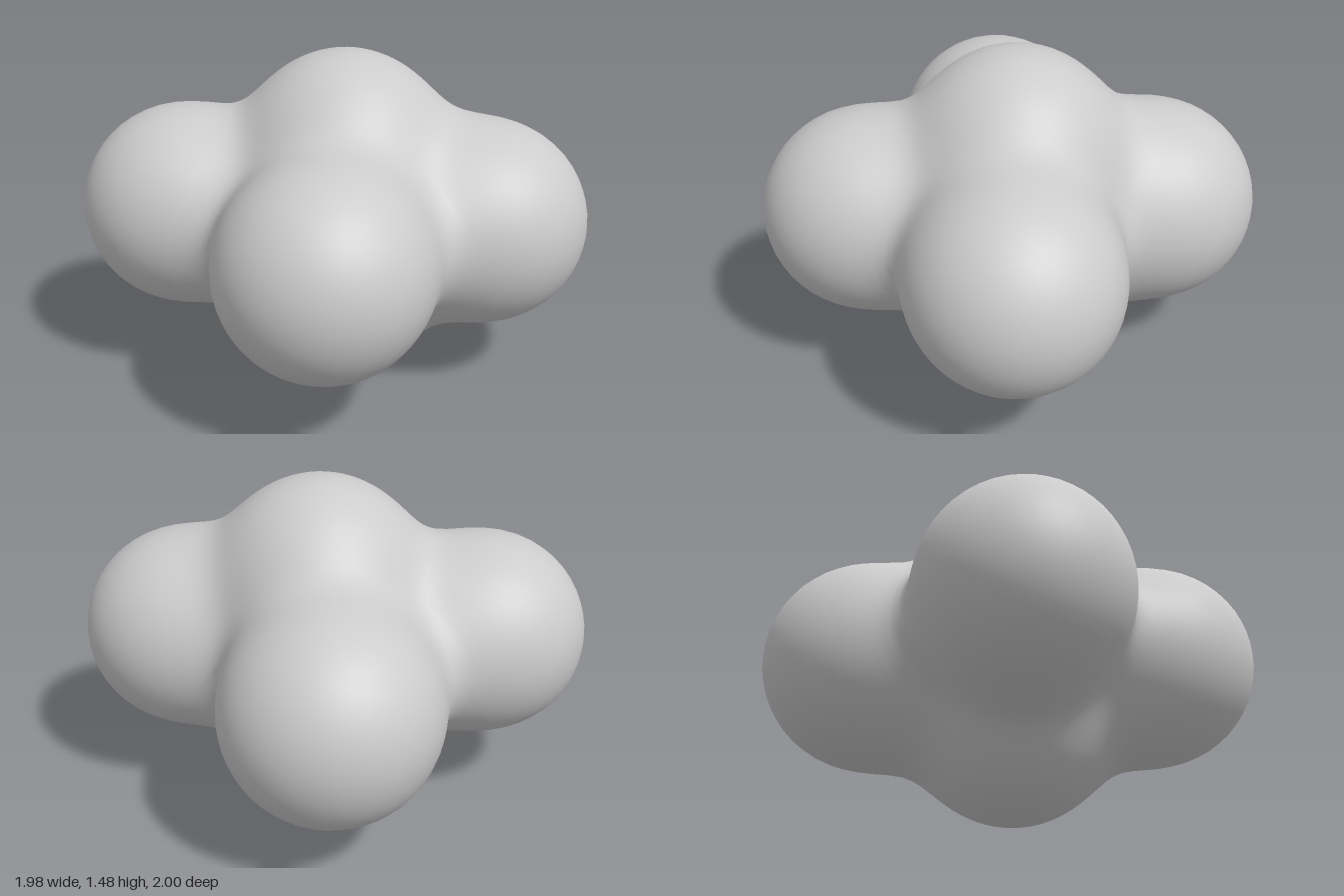
import * as THREE from 'three';
import { mergeVertices } from 'three/addons/utils/BufferGeometryUtils.js';

// Lobes of the blob: centre x, y, z and radius
const LOBES = [
  [-0.54, 0.77, -0.37, 0.45], // back right
  [0.37, 0.69, -0.54, 0.46],  // back left
  [0.54, 0.74, 0.45, 0.45],   // front left
  [-0.355, 0.74, 0.55, 0.45], // front right
  [0.07, 1.03, 0.03, 0.45],   // top
  [0.04, 0.45, 0.03, 0.45],   // bottom
].map(([x, y, z, r]) => ({ centre: new THREE.Vector3(x, y, z), r }));

const BLEND = 0.1;
const CENTRE = new THREE.Vector3(0.02, 0.74, 0.02);

// Smoothly blended distance to all lobes; negative inside
function distance(p) {
  let sum = 0;
  for (const { centre, r } of LOBES) sum += Math.exp((r - p.distanceTo(centre)) / BLEND);
  return -BLEND * Math.log(sum);
}

// Walk inwards along a ray until the blended surface is met
function surfacePoint(dir, target) {
  let t = 1.6;
  for (let i = 0; i < 80; i++) {
    const d = distance(target.copy(CENTRE).addScaledVector(dir, t));
    if (d < 0.0005) break;
    t -= d * 0.9;
  }
  return target;
}

export function createModel() {
  const group = new THREE.Group();
  group.name = 'blob';

  // Wrap a subdivided icosahedron onto the blended lobes
  let geometry = new THREE.IcosahedronGeometry(1, 20);
  geometry.deleteAttribute('normal');
  geometry.deleteAttribute('uv');
  geometry = mergeVertices(geometry, 1e-4);
  const pos = geometry.attributes.position;
  const dir = new THREE.Vector3();
  const point = new THREE.Vector3();
  for (let i = 0; i < pos.count; i++) {
    dir.fromBufferAttribute(pos, i).normalize();
    surfacePoint(dir, point);
    pos.setXYZ(i, point.x, Math.max(0, point.y), point.z);
  }
  geometry.computeVertexNormals();

  const body = new THREE.Mesh(geometry, new THREE.MeshStandardMaterial({ color: 0xcccccc }));
  body.name = 'blendedLobes';
  group.add(body);
  return group;
}
